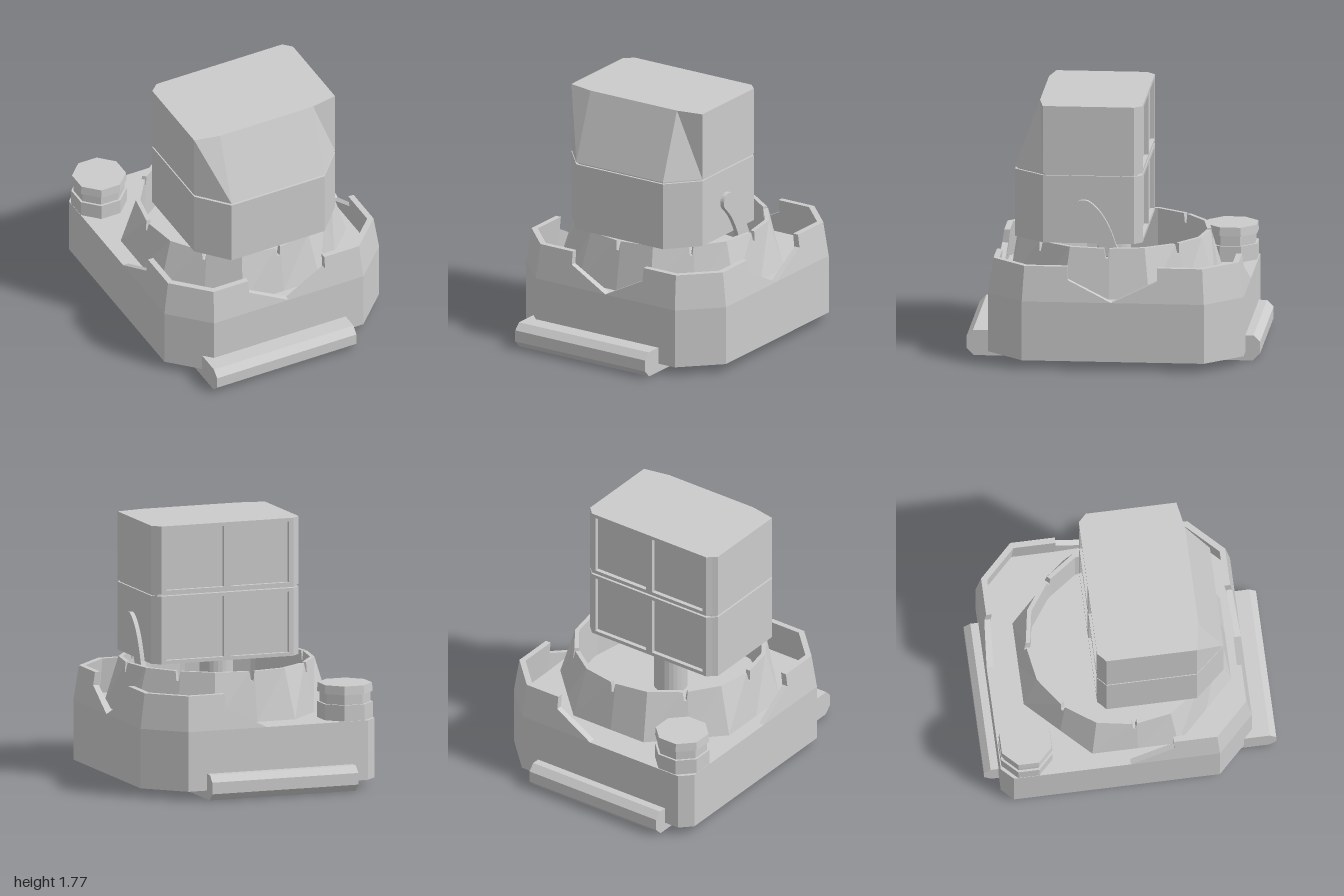
import * as THREE from 'three';

const material = new THREE.MeshStandardMaterial({ color: 0xcccccc, flatShading: true });

function add(parent, name, geometry) {
  const mesh = new THREE.Mesh(geometry, material);
  mesh.name = name;
  parent.add(mesh);
  return mesh;
}

// Upright prism from a plan outline of [x, z] corners
function prism(plan, y0, y1) {
  const shape = new THREE.Shape(plan.map(([x, z]) => new THREE.Vector2(x, -z)));
  const g = new THREE.ExtrudeGeometry(shape, { depth: y1 - y0, bevelEnabled: false });
  return g.rotateX(-Math.PI / 2).translate(0, y0, 0);
}

// Side profile drawn in (z, y), extruded between two x positions
function sideExtrude(shape, x0, x1) {
  const g = new THREE.ExtrudeGeometry(shape, { depth: x1 - x0, bevelEnabled: false, curveSegments: 10 });
  return g.rotateY(-Math.PI / 2).translate(x1, 0, 0);
}

// Skin joining a row of equal-length cross-sections
function strip(sections, closed) {
  const pos = [];
  const count = closed ? sections.length : sections.length - 1;
  for (let i = 0; i < count; i++) {
    const a = sections[i], b = sections[(i + 1) % sections.length];
    for (let k = 0; k < a.length - 1; k++) {
      for (const p of [a[k], b[k], b[k + 1], a[k], b[k + 1], a[k + 1]]) pos.push(...p);
    }
  }
  const g = new THREE.BufferGeometry();
  g.setAttribute('position', new THREE.Float32BufferAttribute(pos, 3));
  g.computeVertexNormals();
  return g;
}

const FLOOR = 0.47, RIM = 0.71, STEP = 0.62;

// Tapered parapet with V-shaped notches, listed as [x, z, top height]
function parapet() {
  const stations = [
    [-0.82, -0.02, FLOOR], [-0.82, 0.28, STEP], [-0.82, 0.28, RIM], [-0.82, 0.59, RIM],
    [-0.57, 0.84, RIM], [-0.29, 0.84, RIM], [-0.29, 0.84, STEP], [0, 0.84, FLOOR],
    [0.29, 0.84, STEP], [0.29, 0.84, RIM], [0.57, 0.84, RIM], [0.82, 0.59, RIM],
    [0.82, 0.28, RIM], [0.82, 0.28, STEP], [0.82, -0.02, FLOOR], [0.82, -0.33, STEP],
    [0.82, -0.33, RIM], [0.82, -0.65, RIM], [0.57, -0.9, RIM], [0.29, -0.9, RIM],
    [0.29, -0.9, STEP], [0, -0.9, FLOOR],
  ];
  // Inset keeps the corners mitred
  const move = (v, d) => v - Math.sign(v) * d * (Math.abs(v) > 0.8 ? 1 : Math.abs(v) > 0.5 ? 0.414 : 0);
  return strip(stations.map(([x, z, top]) => {
    const at = (d, y) => [move(x, d), y, move(z, d)];
    const d = 0.035 * (top - FLOOR) / (RIM - FLOOR);
    return [at(0, FLOOR), at(d, top), at(d + 0.04, top), at(0.05, FLOOR)];
  }), false);
}

// Octagonal foot rising to a round rim with eight small notches
function turretRing() {
  const sections = [];
  for (let i = 0; i < 8; i++) {
    const t = i * Math.PI / 4;
    const point = (r, s, y, a = t) =>
      [r * Math.sin(a) + s * Math.cos(a), y, r * Math.cos(a) - s * Math.sin(a) + 0.025];
    for (const [s, y] of [[-0.018, 0.81], [-0.008, 0.745], [0.008, 0.745], [0.018, 0.81]]) {
      const r = 0.71 - 0.055 * (y - FLOOR) / 0.34;
      sections.push([point(0.71, s, FLOOR), point(r, s, y), point(0.625, s, y), point(0.625, s, FLOOR)]);
    }
    const c = t + Math.PI / 8;
    sections.push([point(0.768, 0, FLOOR, c), point(0.665, 0, 0.81, c),
      point(0.635, 0, 0.81, c), point(0.635, 0, FLOOR, c)]);
  }
  return strip(sections, true);
}

export function createModel() {
  const model = new THREE.Group();
  model.name = 'turretBlock';

  // Base: long skid, chamfered block and parapet
  const skid = new THREE.Shape([[-0.95, 0], [0.95, 0], [1, 0.05], [1, 0.13], [0.955, 0.175],
    [-0.955, 0.175], [-1, 0.13], [-1, 0.05]].map(([z, y]) => new THREE.Vector2(z, y)));
  add(model, 'skid', sideExtrude(skid, -0.63, 0.435));
  add(model, 'baseBlock', prism([[-0.82, 0.59], [-0.57, 0.84], [0.57, 0.84], [0.82, 0.59],
    [0.82, -0.65], [0.57, -0.9], [-0.74, -0.9], [-0.82, -0.82]], 0.06, FLOOR));
  add(model, 'parapet', parapet());

  // Octagonal corner post: base, neck and cap
  const post = new THREE.Group();
  post.name = 'cornerPost';
  post.position.set(-0.643, 0, -0.718);
  model.add(post);
  const tiers = [['postBase', 0.175, 0.175, FLOOR, 0.58], ['postNeck', 0.16, 0.16, 0.58, 0.65],
    ['postCap', 0.175, 0.17, 0.65, RIM]];
  for (const [name, bottom, top, y0, y1] of tiers) {
    const k = 1 / Math.cos(Math.PI / 8);
    add(post, name, new THREE.CylinderGeometry(top * k, bottom * k, y1 - y0, 8)
      .rotateY(Math.PI / 8).translate(0, (y0 + y1) / 2, 0));
  }

  // Turret ring and the pedestal carrying the head
  add(model, 'turretRing', turretRing());
  add(model, 'pedestal', new THREE.CylinderGeometry(0.115, 0.115, 0.36, 24).translate(0, 0.645, 0.03));

  // Head: two stacked blocks with a groove between, front of the upper one leaning back
  const head = new THREE.Group();
  head.name = 'head';
  model.add(head);
  const plan = [[-0.53, 0.47], [-0.35, 0.675], [0.36, 0.675], [0.545, 0.47],
    [0.545, -0.15], [0.52, -0.175], [-0.5, -0.175], [-0.53, -0.15]];
  add(head, 'lowerHead', prism(plan, 0.82, 1.288));
  const upper = prism(plan, 1.302, 1.77);
  const p = upper.attributes.position;
  for (let i = 0; i < p.count; i++) if (p.getY(i) > 1.7 && p.getZ(i) > 0.6) p.setZ(i, 0.505);
  upper.computeVertexNormals();
  add(head, 'upperHead', upper);
  add(head, 'grooveCore', prism(plan.map(([x, z]) => [x * 0.975, z * 0.975]), 1.28, 1.31));

  // Back frames, two recessed panels in each block
  const zIn = -0.175, zOut = -0.205;
  for (const [y0, y1] of [[0.82, 1.288], [1.302, 1.77]]) {
    const rail = [[-0.5, zIn], [0.52, zIn], [0.49, zOut], [-0.47, zOut]];
    add(head, 'bottomRail', prism(rail, y0, y0 + 0.025));
    add(head, 'topRail', prism(rail, y1 - 0.025, y1));
    add(head, 'rightPost', prism([[-0.5, zIn], [-0.44, zIn], [-0.44, zOut], [-0.47, zOut]], y0, y1));
    add(head, 'leftPost', prism([[0.52, zIn], [0.46, zIn], [0.46, zOut], [0.49, zOut]], y0, y1));
    add(head, 'middlePost', prism([[-0.015, zIn], [0.035, zIn], [0.035, zOut], [-0.015, zOut]], y0, y1));
  }

  // Curved side lever with a rounded tip
  const lever = new THREE.Shape();
  lever.moveTo(-0.07, 0.74);
  lever.lineTo(0.06, 0.74);
  lever.quadraticCurveTo(0.13, 0.93, 0.225, 1.01);
  lever.bezierCurveTo(0.29, 1.06, 0.24, 1.15, 0.16, 1.12);
  lever.quadraticCurveTo(0.04, 1.05, -0.03, 0.82);
  add(head, 'sideLever', sideExtrude(lever, 0.54, 0.575));

  return model;
}
